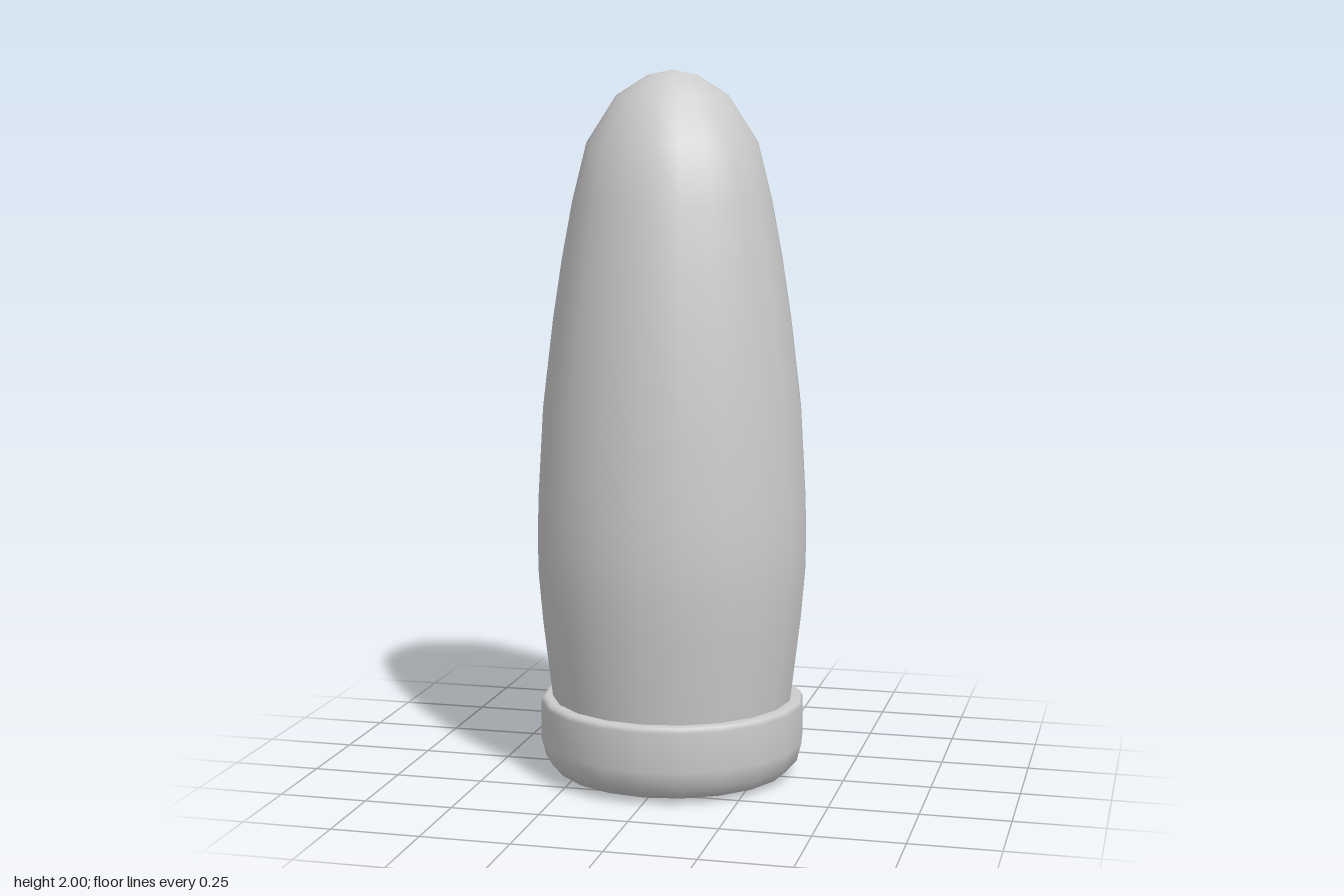
import * as THREE from 'three';

const SEGMENTS = 20;

function lathe(name, points, material) {
  const profile = points.map(([r, y]) => new THREE.Vector2(r, y));
  const mesh = new THREE.Mesh(new THREE.LatheGeometry(profile, SEGMENTS), material);
  mesh.name = name;
  return mesh;
}

export function createModel() {
  const group = new THREE.Group();
  group.name = 'capsule';
  const material = new THREE.MeshStandardMaterial({ color: 0xcccccc });

  // Tapered body with a rounded tip, sunk slightly into the base collar
  group.add(lathe('body', [
    [0.335, 0.16], [0.345, 0.23], [0.37, 0.44], [0.382, 0.58], [0.384, 0.68],
    [0.381, 0.8], [0.366, 1.06], [0.336, 1.31], [0.31, 1.48], [0.28, 1.64],
    [0.24, 1.8], [0.157, 1.93], [0.07, 1.985], [0, 2],
  ], material));

  // Base collar with a rounded lower edge
  group.add(lathe('collar', [
    [0.29, 0.005], [0.335, 0.016], [0.365, 0.05], [0.378, 0.1],
    [0.378, 0.21], [0.372, 0.222], [0.36, 0.225], [0.335, 0.225],
  ], material));

  // Flat underside
  const underside = new THREE.Mesh(new THREE.CylinderGeometry(0.29, 0.285, 0.005, SEGMENTS), material);
  underside.position.y = 0.0025;
  underside.name = 'underside';
  group.add(underside);

  return group;
}
